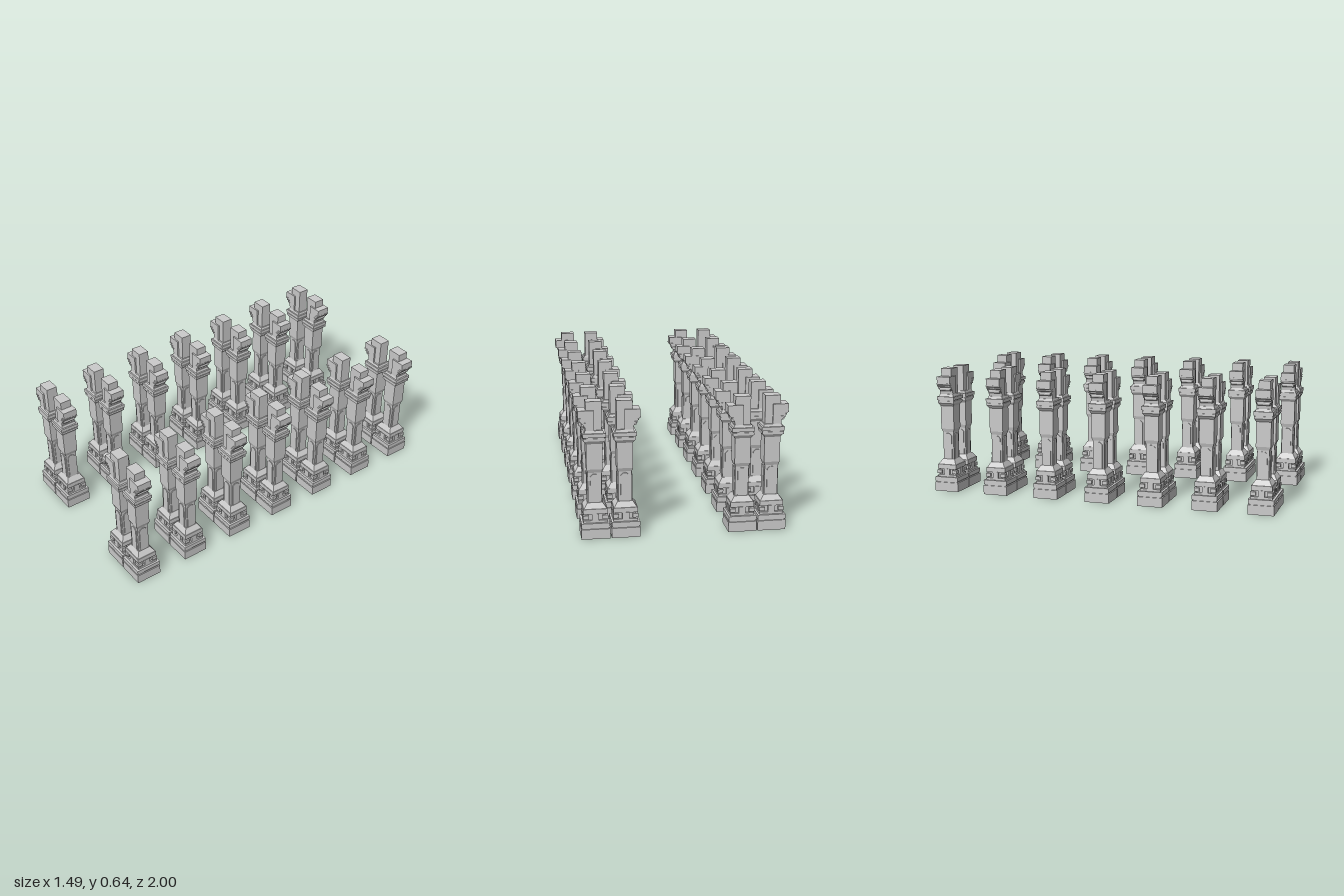
import * as THREE from 'three';

const stone = new THREE.MeshStandardMaterial({ color: 0xcccccc, flatShading: true });

function add(parent, name, geometry, x = 0, y = 0, z = 0) {
  const mesh = new THREE.Mesh(geometry, stone);
  mesh.name = name;
  mesh.position.set(x, y, z);
  parent.add(mesh);
  return mesh;
}

// Rectangular block from y0 to y1, tapering from w0 x d0 to w1 x d1
function block(parent, name, y0, y1, w0, d0, w1 = w0, d1 = d0, x = 0, z = 0) {
  const geo = new THREE.BoxGeometry(1, y1 - y0, 1);
  const p = geo.attributes.position;
  for (let i = 0; i < p.count; i++) {
    const top = p.getY(i) > 0;
    p.setX(i, p.getX(i) * (top ? w1 : w0));
    p.setZ(i, p.getZ(i) * (top ? d1 : d0));
  }
  return add(parent, name, geo, x, (y0 + y1) / 2, z);
}

// Raised panel with a chamfered head, standing on the origin and facing +z
function panelGeometry(w, h, depth) {
  const c = w * 0.3;
  const shape = new THREE.Shape([
    [-w / 2, 0], [w / 2, 0], [w / 2, h - c], [w / 2 - c, h], [-w / 2 + c, h], [-w / 2, h - c],
  ].map(([x, y]) => new THREE.Vector2(x, y)));
  return new THREE.ExtrudeGeometry(shape, { depth, bevelEnabled: false });
}

// One column; its bracket points along +x
function makeColumn() {
  const col = new THREE.Group();
  col.name = 'column';

  // Stepped plinth
  block(col, 'plinth', 0, 0.047, 0.133, 0.128);
  block(col, 'plinthGroove', 0.047, 0.053, 0.122, 0.116);
  block(col, 'plinthCap', 0.053, 0.075, 0.131, 0.126);

  // Recessed base with corner and middle blocks
  block(col, 'baseCore', 0.075, 0.118, 0.094, 0.086);
  block(col, 'baseSill', 0.075, 0.086, 0.112, 0.104);
  for (const sx of [-1, 1]) for (const sz of [-1, 1])
    block(col, 'cornerBlock', 0.092, 0.11, 0.026, 0.026, 0.026, 0.026, sx * 0.045, sz * 0.041);
  block(col, 'middleBlockAcross', 0.086, 0.118, 0.116, 0.03);
  block(col, 'middleBlockAlong', 0.086, 0.118, 0.032, 0.108);
  block(col, 'baseSlab', 0.116, 0.14, 0.112, 0.103);
  block(col, 'baseSlope', 0.14, 0.166, 0.106, 0.097, 0.07, 0.066);

  // Panelled lower shaft
  block(col, 'lowerShaft', 0.16, 0.315, 0.062, 0.058);
  const panel = panelGeometry(0.04, 0.135, 0.004);
  for (let i = 0; i < 4; i++) {
    const a = i * Math.PI / 2, r = i % 2 ? 0.031 : 0.029;
    add(col, 'shaftPanel', panel, Math.sin(a) * r, 0.166, Math.cos(a) * r).rotation.y = a;
  }

  // Plain upper shaft
  block(col, 'shaftFlare', 0.308, 0.325, 0.064, 0.06, 0.074, 0.072);
  block(col, 'upperShaft', 0.325, 0.45, 0.074, 0.072);

  // Mouldings
  block(col, 'mouldingSlope', 0.445, 0.46, 0.074, 0.072, 0.094, 0.09);
  block(col, 'mouldingLower', 0.46, 0.472, 0.1, 0.09);
  block(col, 'mouldingGroove', 0.472, 0.477, 0.094, 0.084);
  block(col, 'mouldingUpper', 0.477, 0.495, 0.106, 0.095);
  block(col, 'mouldingTop', 0.495, 0.507, 0.09, 0.08, 0.082, 0.072);

  // Capital: tall block with a lower bracket on the outer side
  block(col, 'capitalBlock', 0.5, 0.64, 0.072, 0.056);
  const profile = new THREE.Shape([
    [0, 0.505], [0.038, 0.505], [0.041, 0.525], [0.06, 0.548], [0.072, 0.565], [0.072, 0.6], [0, 0.6],
  ].map(([x, y]) => new THREE.Vector2(x, y)));
  const bw = 0.072;
  const bracket = new THREE.ExtrudeGeometry(profile, { depth: bw, bevelEnabled: false });
  add(col, 'bracket', bracket, 0, 0, -bw / 2);
  const scroll = new THREE.CylinderGeometry(0.011, 0.011, 0.06, 12).rotateX(Math.PI / 2);
  add(col, 'bracketScroll', scroll, 0.046, 0.535, 0);
  for (let i = 0; i < 3; i++) {
    const y = 0.538 + i * 0.011;
    block(col, 'bracketStep', y, y + 0.006, 0.02, 0.076, 0.02, 0.076, 0.047 + i * 0.008);
  }
  return col;
}

// Two columns back to back
function makePair() {
  const pair = new THREE.Group();
  pair.name = 'columnPair';
  for (const s of [-1, 1]) {
    const col = makeColumn();
    col.position.x = s * 0.0695;
    col.rotation.y = s > 0 ? 0 : Math.PI;
    pair.add(col);
  }
  return pair;
}

export function createModel() {
  const model = new THREE.Group();
  model.name = 'colonnade';
  const pair = makePair();

  // Two slanting rows of seven pairs
  for (const s of [1, -1]) {
    const row = new THREE.Group();
    row.name = s > 0 ? 'rightRow' : 'leftRow';
    for (let i = 0; i < 7; i++) {
      const p = pair.clone();
      p.position.set(s * (-0.045 - 0.092 * i), 0, s * (-0.894 + 0.259 * i));
      p.rotation.y = -0.341;
      row.add(p);
    }
    model.add(row);
  }
  return model;
}
